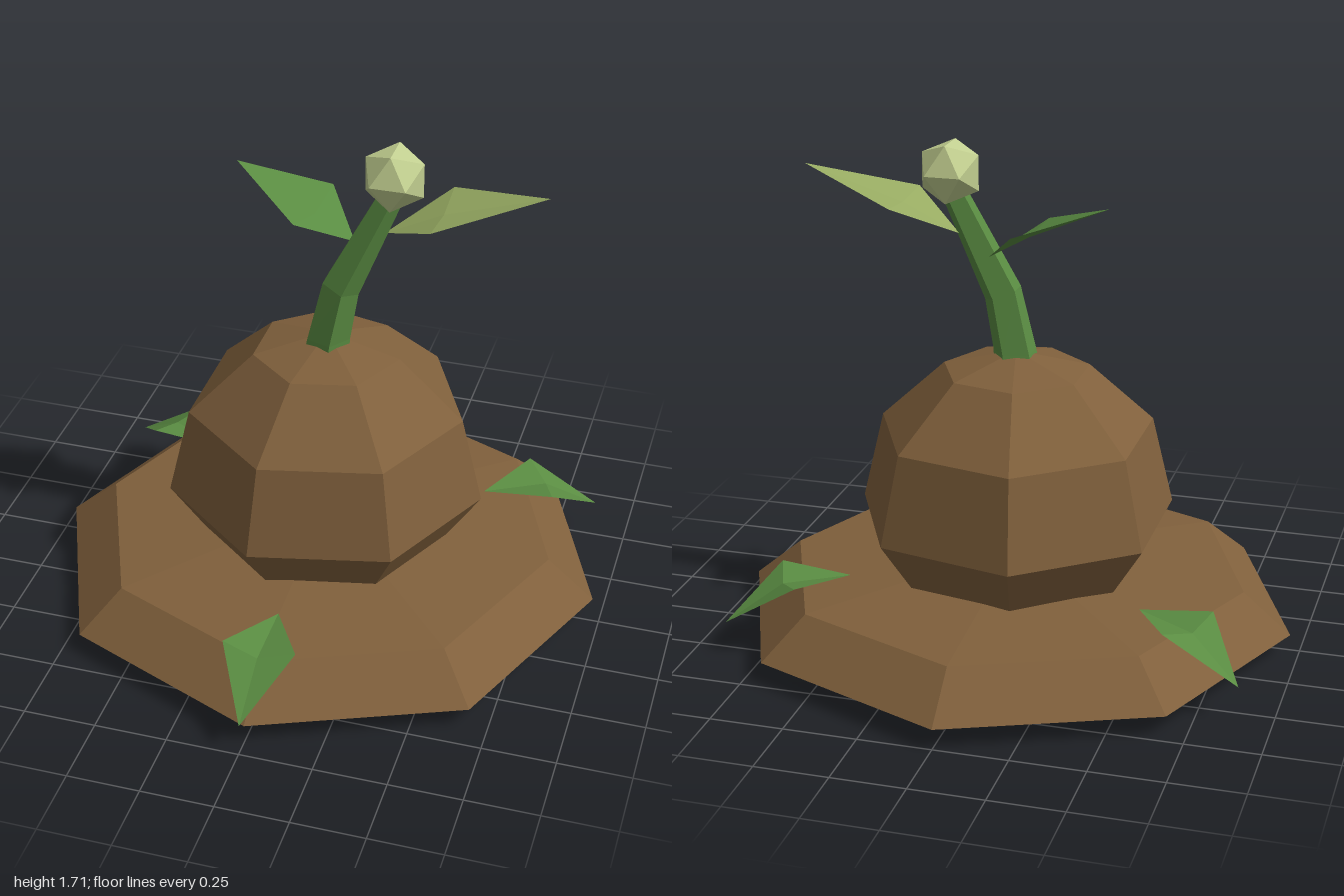
import * as THREE from 'three';

const mat = (name, color, side = THREE.FrontSide) => {
  const m = new THREE.MeshStandardMaterial({ color, flatShading: true, side });
  m.name = name;
  return m;
};

export function createModel() {
  const group = new THREE.Group();
  const soil = mat('earth brown', 0x80603c, THREE.DoubleSide);
  const green = mat('leaf green', 0x5a8c42, THREE.DoubleSide);
  const paleGreen = mat('pale leaf green', 0x97ab62, THREE.DoubleSide);
  const budColor = mat('bud cream green', 0xc2cf90);
  const CZ = -0.03; // axis of the mound in z

  const add = (name, geometry, material, x = 0, y = 0, z = 0) => {
    const mesh = new THREE.Mesh(geometry, material);
    mesh.name = name;
    mesh.position.set(x, y, z);
    group.add(mesh);
    return mesh;
  };
  const lathe = (points, sides, start) =>
    new THREE.LatheGeometry(points.map(p => new THREE.Vector2(...p)), sides, start);

  // Seven-sided bulb with pointed underside
  add('bulb', lathe([[0, 0], [0.385, 0.165], [0.555, 0.42], [0.48, 0.73], [0.255, 0.94], [0, 1.005]],
    7, Math.PI / 2), soil, 0, 0, CZ);

  // Open octagonal skirt of earth
  add('skirt', lathe([[0.97, 0.07], [0.805, 0.21], [0, 0.285]], 8, 0), soil, 0, 0, CZ);

  // Folded leaf: four triangles round a sunken middle
  const leafGeometry = (base, sideA, sideB, middle, tip) => {
    const g = new THREE.BufferGeometry();
    g.setAttribute('position', new THREE.Float32BufferAttribute(
      [base, sideA, sideB, middle, tip].flat(), 3));
    g.setIndex([0, 3, 1, 0, 2, 3, 1, 3, 4, 3, 2, 4]);
    g.computeVertexNormals();
    return g;
  };

  // Three leaves lying on the skirt
  for (let i = 0; i < 3; i++) {
    const leaf = add('skirtLeaf', leafGeometry([0, 0.24, 0.585], [-0.125, 0.265, 0.8],
      [0.125, 0.265, 0.8], [0, 0.235, 0.82], [0, 0.113, 1.02]), green, 0, 0, CZ);
    leaf.rotation.y = i * Math.PI * 2 / 3;
  }

  // Bent five-sided stem, tapering through rings of x, y, z, radius
  const rings = [[0.003, 0.96, -0.015, 0.079], [0.008, 1.0, -0.015, 0.076],
    [0.048, 1.2, -0.02, 0.063], [0.205, 1.54, -0.05, 0.042]];
  const sides = 5, position = [], index = [];
  rings.forEach(([x, y, z, r], k) => {
    for (let j = 0; j < sides; j++) {
      const a = j / sides * Math.PI * 2;
      position.push(x + r * Math.cos(a), y - (k > 1 ? 0.4 * r * Math.cos(a) : 0), z + r * Math.sin(a));
      if (k === 0) continue;
      const n = (j + 1) % sides, lo = (k - 1) * sides, hi = k * sides;
      index.push(lo + j, hi + j, lo + n, lo + n, hi + j, hi + n);
    }
  });
  const stem = new THREE.BufferGeometry();
  stem.setAttribute('position', new THREE.Float32BufferAttribute(position, 3));
  stem.setIndex(index);
  stem.computeVertexNormals();
  add('stem', stem, green);

  // Two leaves growing from the stem
  add('leftStemLeaf', leafGeometry([0.19, 1.405, -0.05], [0.38, 1.517, 0.11],
    [0.38, 1.517, -0.22], [0.385, 1.5, -0.055], [0.73, 1.61, -0.055]), paleGreen);
  add('rightStemLeaf', leafGeometry([0.08, 1.34, -0.08], [-0.04, 1.455, -0.24],
    [-0.09, 1.45, 0.06], [-0.06, 1.42, -0.085], [-0.345, 1.55, -0.14]), green);

  // Faceted bud
  add('bud', new THREE.IcosahedronGeometry(0.115, 0), budColor, 0.22, 1.615, -0.05)
    .rotation.y = Math.PI / 2;

  return group;
}
